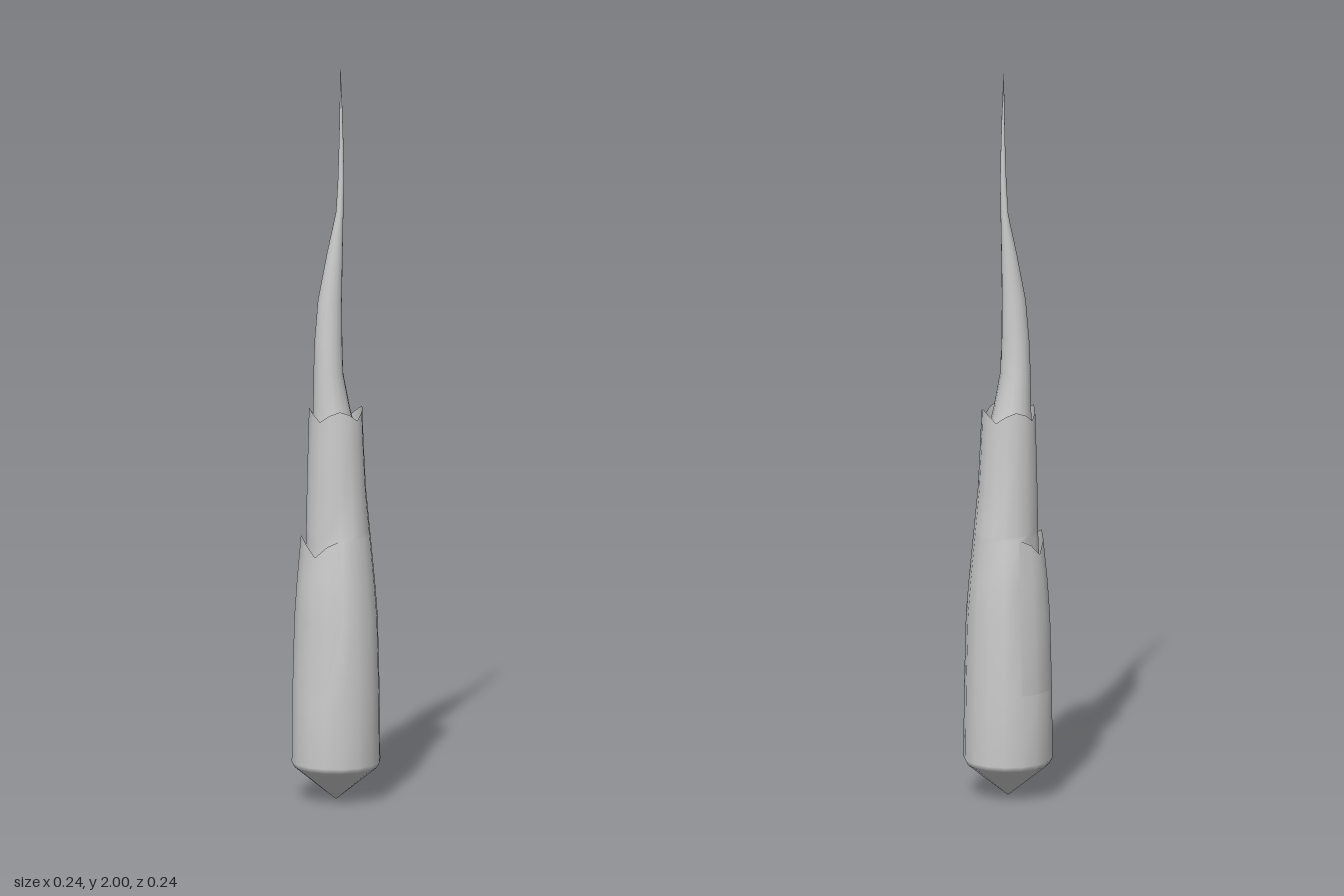
import * as THREE from 'three';

const SIDES = 16;

// Skins rows of points into a smooth surface; closed rows wrap around.
function skin(name, rows, closed) {
  const n = rows[0].length;
  const index = [];
  for (let j = 0; j < rows.length - 1; j++) {
    for (let i = 0; i < (closed ? n : n - 1); i++) {
      const a = j * n + i, b = j * n + (i + 1) % n;
      index.push(a, a + n, b, b, a + n, b + n);
    }
  }
  const geometry = new THREE.BufferGeometry();
  geometry.setAttribute('position', new THREE.Float32BufferAttribute(rows.flat(2), 3));
  geometry.setIndex(index);
  geometry.computeVertexNormals();
  const mesh = new THREE.Mesh(geometry, new THREE.MeshStandardMaterial({ color: 0xcccccc, side: THREE.DoubleSide }));
  mesh.name = name;
  return mesh;
}

// Point at column i; column 0 is on +x and columns run towards +z.
function point(i, y, rx, rz = rx, cx = 0) {
  const a = (i / SIDES) * Math.PI * 2;
  return [cx + rx * Math.cos(a), y, rz * Math.sin(a)];
}

// Drop of a torn rim: peaks on the axes, notches on the diagonals.
const notch = (i) => [0, 0.35, 1, 0.35][i % 4];
const columns = (from, to) => Array.from({ length: to - from + 1 }, (_, k) => from + k);

export function createModel() {
  const model = new THREE.Group();
  const ring = columns(0, SIDES - 1);

  // Body: height, radius on the smooth +x half, on the x = 0 seam, and under the flap
  const bodyRings = [
    [0, 0.001, 0.001, 0.001], [0.015, 0.02, 0.02, 0.02], [0.09, 0.112, 0.112, 0.112],
    [0.105, 0.12, 0.12, 0.12], [0.3, 0.118, 0.118, 0.118], [0.5, 0.113, 0.113, 0.095],
    [0.6, 0.105, 0.105, 0.086], [0.725, 0.093, 0.095, 0.081], [0.735, 0.092, 0.082, 0.081],
    [0.85, 0.081, 0.08, 0.079], [0.97, 0.075, 0.075, 0.076], [1.075, 0.071, 0.071, 0.073],
  ];
  const body = bodyRings.map(([y, smooth, seam, under], j) => ring.map((i) => {
    const r = i === 4 || i === 12 ? seam : i > 4 && i < 12 ? under : smooth;
    return point(i, j === bodyRings.length - 1 ? y - 0.03 * notch(i) : y, r);
  }));
  model.add(skin('body', body, true));

  // Flap: outer half sleeve on the -x side with a notched upper edge
  const flapRings = [[0.3, 0.118], [0.5, 0.113], [0.6, 0.106], [0.727, 0.095]];
  const flap = flapRings.map(([y, r], j) => columns(4, 12).map((i) =>
    point(i, j === flapRings.length - 1 ? y - 0.05 * notch(i) : y, r)));
  model.add(skin('outerFlap', flap, false));

  // Tip: height, left edge, right edge and half depth of a bent spike
  const tipRings = [
    [0.95, -0.07, 0.07, 0.07], [1.07, -0.062, 0.038, 0.053], [1.17, -0.061, 0.019, 0.046],
    [1.26, -0.058, 0.017, 0.038], [1.37, -0.049, 0.016, 0.029], [1.5, -0.024, 0.018, 0.02],
    [1.61, 0, 0.02, 0.013], [1.7, 0.005, 0.022, 0.009], [1.8, 0.008, 0.02, 0.005],
    [1.9, 0.01, 0.017, 0.003], [2, 0.0115, 0.0125, 0.0005],
  ];
  const tip = tipRings.map(([y, x0, x1, rz]) =>
    ring.map((i) => point(i, y, (x1 - x0) / 2, rz, (x0 + x1) / 2)));
  model.add(skin('bentTip', tip, true));

  return model;
}
